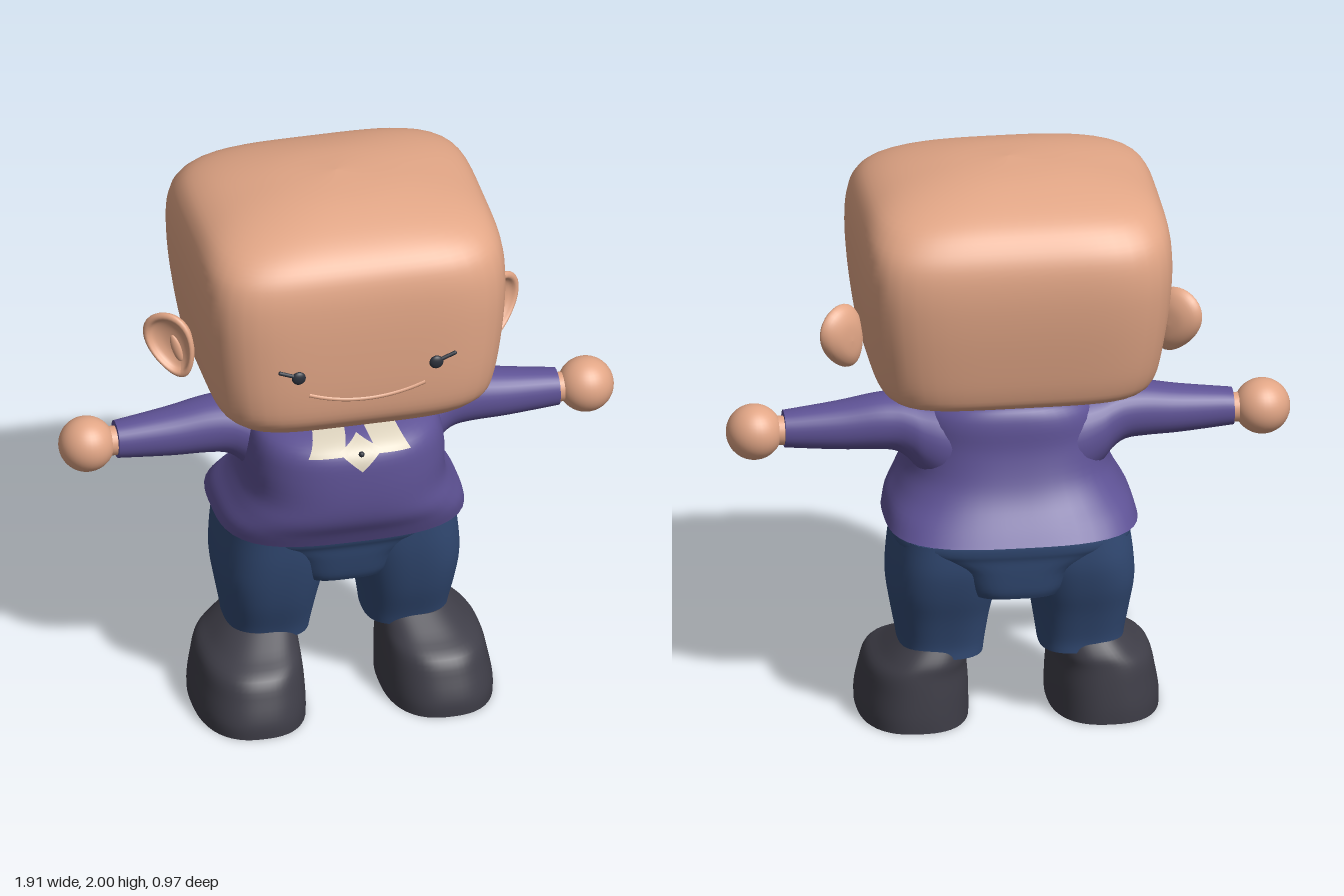
import * as THREE from 'three';

const mat = (name, color) => Object.assign(new THREE.MeshStandardMaterial({ color }), { name });

// Sections are [height, centreX, halfWidth, frontZ, backZ, squareness]; refine adds smooth in-between ones.
function refine(rows, steps = 4) {
  const out = [];
  for (let i = 0; i < rows.length - 1; i++) {
    const p0 = rows[Math.max(i - 1, 0)], p1 = rows[i], p2 = rows[i + 1], p3 = rows[Math.min(i + 2, rows.length - 1)];
    for (let k = 0; k < steps; k++) {
      const t = k / steps;
      out.push(p1.map((v, j) => v + 0.5 * t * (p2[j] - p0[j]
        + t * (2 * p0[j] - 5 * v + 4 * p2[j] - p3[j] + t * (3 * (v - p2[j]) + p3[j] - p0[j])))));
    }
  }
  out.push(rows[rows.length - 1]);
  return out;
}

// Smooth skin over rounded-square sections, with optional flat bottom cap.
function loft(rows, { bottom = true, seg = 56 } = {}) {
  const pos = [], idx = [];
  const addRing = ([y, cx, w, f, b, n]) => {
    for (let j = 0; j < seg; j++) {
      const a = (j / seg) * Math.PI * 2, c = Math.cos(a), s = Math.sin(a);
      const r = 1 / Math.pow(Math.abs(c) ** n + Math.abs(s) ** n, 1 / n);
      pos.push(cx + c * r * w, y, (f + b) / 2 + (s * r * (f - b)) / 2);
    }
  };
  rows.forEach(addRing);
  for (let i = 0; i < rows.length - 1; i++) {
    for (let j = 0; j < seg; j++) {
      const a = i * seg + j, b = i * seg + ((j + 1) % seg);
      idx.push(a, a + seg, b, b, a + seg, b + seg);
    }
  }
  const cap = (row, up) => {
    const base = pos.length / 3;
    addRing(row);
    pos.push(row[1], row[0], (row[3] + row[4]) / 2);
    for (let j = 0; j < seg; j++) {
      const a = base + j, b = base + ((j + 1) % seg);
      idx.push(base + seg, up ? b : a, up ? a : b);
    }
  };
  if (bottom) cap(rows[0], false);
  cap(rows[rows.length - 1], true);
  const g = new THREE.BufferGeometry();
  g.setAttribute('position', new THREE.Float32BufferAttribute(pos, 3));
  g.setIndex(idx);
  g.computeVertexNormals();
  return g;
}

// Front surface of a lofted body at a given x and y.
function frontZ(rows, x, y) {
  let i = 0;
  while (i < rows.length - 2 && rows[i + 1][0] < y) i++;
  const t = (y - rows[i][0]) / (rows[i + 1][0] - rows[i][0]);
  const [, , w, f, b, n] = rows[i].map((v, j) => v + (rows[i + 1][j] - v) * t);
  const k = Math.pow(Math.max(0, 1 - Math.min(1, Math.abs(x) / w) ** n), 1 / n);
  return (f + b) / 2 + ((f - b) / 2) * k;
}

export function createModel() {
  const model = new THREE.Group();
  const skin = mat('skin', 0xe2a686);
  const shirt = mat('purple shirt', 0x5e5295);
  shirt.side = THREE.DoubleSide;
  const denim = mat('blue trousers', 0x324a74);
  const leather = mat('dark shoes', 0x3f3e48);
  const cream = mat('cream collar', 0xdcd2bd);
  cream.side = THREE.DoubleSide;
  const dark = mat('dark eyes', 0x2b303a);
  const add = (name, geo, material, x = 0, y = 0, z = 0) => {
    const m = new THREE.Mesh(geo, material);
    m.name = name;
    m.position.set(x, y, z);
    model.add(m);
    return m;
  };
  const mirrorRows = (rows, s) => refine(rows.map(([y, cx, ...rest]) => [y, cx * s, ...rest]));

  // Head: rounded block with a domed top
  const headRows = refine([
    [1.2, 0, 0.001, 0.011, 0.009, 4], [1.205, 0, 0.25, 0.22, -0.2, 4], [1.222, 0, 0.4, 0.37, -0.33, 4.5],
    [1.25, 0, 0.447, 0.415, -0.4, 4.8], [1.3, 0, 0.477, 0.45, -0.427, 5], [1.4, 0, 0.497, 0.465, -0.45, 5.2],
    [1.55, 0, 0.517, 0.471, -0.475, 5.2], [1.68, 0, 0.525, 0.47, -0.485, 5.2], [1.78, 0, 0.52, 0.46, -0.475, 5],
    [1.85, 0, 0.5, 0.435, -0.44, 4.6], [1.905, 0, 0.455, 0.38, -0.385, 4], [1.95, 0, 0.36, 0.29, -0.29, 3.2],
    [1.985, 0, 0.2, 0.16, -0.16, 2.5], [2, 0, 0.001, 0.001, -0.001, 2],
  ]);
  add('head', loft(headRows, { seg: 80 }), skin);
  add('neck', new THREE.CylinderGeometry(0.052, 0.055, 0.14, 24), skin, 0, 1.17, 0.01);

  // Smile
  const smile = [];
  for (let i = 0; i <= 16; i++) {
    const x = -0.2 + 0.025 * i, y = 1.375 + 0.04 * (x / 0.2) ** 2;
    smile.push(new THREE.Vector3(x, y, frontZ(headRows, x, y) - 0.003));
  }
  add('mouth', new THREE.TubeGeometry(new THREE.CatmullRomCurve3(smile), 40, 0.008, 8), skin);

  // Shirt body, open at the hem
  const shirtRows = refine([
    [0.72, 0, 0.425, 0.31, -0.365, 3.1], [0.77, 0, 0.409, 0.335, -0.318, 3.1], [0.83, 0, 0.372, 0.37, -0.272, 2.9],
    [0.9, 0, 0.342, 0.385, -0.24, 2.7], [1, 0, 0.338, 0.386, -0.215, 2.6], [1.08, 0, 0.325, 0.375, -0.21, 2.6],
    [1.125, 0, 0.3, 0.335, -0.2, 2.5], [1.152, 0, 0.24, 0.25, -0.18, 2.4], [1.17, 0, 0.1, 0.1, -0.14, 2.2],
  ]);
  add('shirt', loft(shirtRows, { bottom: false }), shirt);
  add('waist', loft([[0.722, 0, 0.385, 0.24, -0.328, 3], [0.78, 0, 0.34, 0.24, -0.26, 2.6]]), skin);

  // Collar pieces laid over the chest: corners run around each quad
  const collarPiece = (name, c, lift) => {
    const g = new THREE.PlaneGeometry(1, 1, 8, 8), p = g.attributes.position;
    for (let i = 0; i < p.count; i++) {
      const u = p.getX(i) + 0.5, v = p.getY(i) + 0.5;
      const mix = k => (c[0][k] * (1 - u) + c[1][k] * u) * (1 - v) + (c[3][k] * (1 - u) + c[2][k] * u) * v;
      p.setXYZ(i, mix(0), mix(1), frontZ(shirtRows, mix(0), mix(1)) + lift);
    }
    g.computeVertexNormals();
    add(name, g, cream);
  };
  collarPiece('collarFront', [[0, 1.045], [0.075, 1.112], [0, 1.145], [-0.075, 1.112]], 0.016);
  add('collarButton', new THREE.SphereGeometry(0.01, 12, 8), dark, 0, 1.105, frontZ(shirtRows, 0, 1.105) + 0.02);

  // Pelvis of the trousers with a slightly proud waistband
  add('trouserSeat', loft(refine([
    [0.5, 0, 0.17, 0.185, -0.28, 3.5], [0.53, 0, 0.19, 0.2, -0.292, 3.5], [0.6, 0, 0.24, 0.218, -0.303, 3.5],
    [0.645, 0, 0.36, 0.227, -0.308, 3.2], [0.67, 0, 0.398, 0.238, -0.315, 3.2], [0.7, 0, 0.4, 0.245, -0.318, 3.2],
    [0.73, 0, 0.388, 0.243, -0.312, 3.2],
  ])), denim);

  for (const s of [1, -1]) {
    const side = s > 0 ? 'left' : 'right';

    // Ear: cupped dish, egg shaped, flaring back from the head
    const profile = [[0, -0.035], [0.05, -0.03], [0.085, -0.012], [0.1, 0.012], [0.095, 0.024], [0.083, 0.024],
      [0.07, 0.005], [0.04, -0.008], [0, -0.012]].map(p => new THREE.Vector2(...p));
    const ear = new THREE.LatheGeometry(new THREE.SplineCurve(profile).getPoints(32), 36);
    ear.rotateX(Math.PI / 2);
    const ep = ear.attributes.position;
    for (let i = 0; i < ep.count; i++) {
      const y = ep.getY(i) * 1.22;
      ep.setXY(i, ep.getX(i) * 0.88 * (1 + 2.2 * y), y);
    }
    ear.computeVertexNormals();
    ear.rotateZ(-0.4 * s).rotateY(0.68 * s);
    add(side + 'Ear', ear, skin, 0.555 * s, 1.376, -0.03);
    const fold = new THREE.SphereGeometry(1, 16, 12).scale(0.018, 0.05, 0.01);
    fold.rotateZ(-0.35 * s).rotateY(0.68 * s);
    add(side + 'EarFold', fold, skin, 0.545 * s, 1.36, -0.02);

    // Eye and lash
    const ez = frontZ(headRows, 0.235, 1.49);
    add(side + 'Eye', new THREE.SphereGeometry(0.024, 20, 14).scale(1, 1, 0.5), dark, 0.237 * s, 1.49, ez + 0.003);
    const lash = new THREE.CapsuleGeometry(0.007, 0.055, 4, 8).rotateZ(-1.2 * s);
    add(side + 'Lash', lash, dark, 0.275 * s, 1.507, ez + 0.002);

    // Collar flap
    collarPiece(side + 'CollarFlap', [[0.06 * s, 1.098], [0.177 * s, 1.092], [0.142 * s, 1.148], [0.03 * s, 1.158]], 0.011);

    // Sleeve (sections run outwards along the arm) flaring into the body, wrist and hand
    const sleeve = add(side + 'Sleeve', loft(mirrorRows([
      [0.08, 0.07, 0.19, 0.2, -0.19, 2.2], [0.22, 0.055, 0.163, 0.175, -0.175, 2.2], [0.3, 0.027, 0.135, 0.145, -0.15, 2.2],
      [0.345, -0.002, 0.111, 0.12, -0.128, 2.2], [0.39, -0.018, 0.098, 0.103, -0.112, 2.2], [0.46, -0.019, 0.092, 0.091, -0.101, 2.2],
      [0.58, -0.01, 0.08, 0.08, -0.085, 2.2], [0.76, -0.005, 0.062, 0.064, -0.062, 2.2],
    ], s), { seg: 36 }), shirt, 0, 1.04, 0);
    sleeve.rotation.z = -s * Math.PI / 2;
    add(side + 'Wrist', new THREE.CylinderGeometry(0.05, 0.05, 0.1, 24).rotateZ(Math.PI / 2), skin, 0.77 * s, 1.04, 0);
    add(side + 'Hand', new THREE.SphereGeometry(0.095, 32, 24), skin, 0.86 * s, 1.04, 0);

    // Trouser leg
    add(side + 'Leg', loft(mirrorRows([
      [0.25, 0.237, 0.142, 0.11, -0.19, 2.8], [0.3, 0.236, 0.148, 0.125, -0.195, 2.8], [0.4, 0.237, 0.165, 0.165, -0.225, 2.8],
      [0.5, 0.233, 0.183, 0.195, -0.262, 2.8], [0.6, 0.222, 0.188, 0.216, -0.287, 2.8], [0.7, 0.21, 0.185, 0.228, -0.292, 2.8],
    ], s)), denim);

    // Shoe: broad sole, sloping to the ankle
    add(side + 'Shoe', loft(mirrorRows([
      [0, 0.322, 0.187, 0.33, -0.225, 2.5], [0.05, 0.322, 0.187, 0.33, -0.226, 2.5], [0.12, 0.317, 0.18, 0.308, -0.223, 2.5],
      [0.19, 0.311, 0.168, 0.275, -0.218, 2.5], [0.235, 0.288, 0.144, 0.2, -0.212, 2.5], [0.285, 0.263, 0.118, 0.12, -0.19, 2.5],
    ], s)), leather);
  }
  return model;
}
